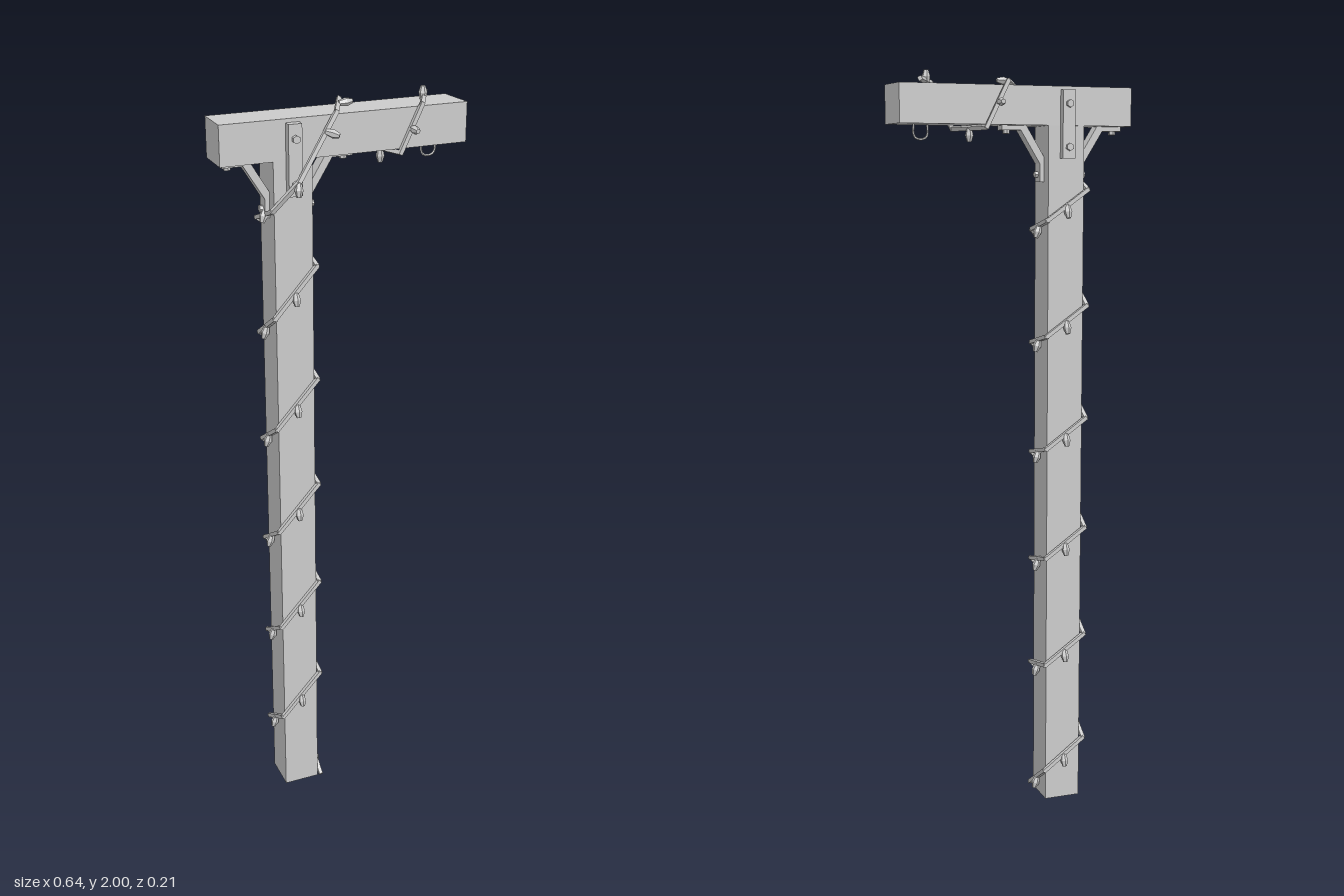
import * as THREE from 'three';

const mat = new THREE.MeshStandardMaterial({ color: 0xcccccc, flatShading: true });
const V = (x, y, z) => new THREE.Vector3(x, y, z);
const UP = V(0, 1, 0);
const PX = -0.14, CZ = -0.005; // post centre

function add(parent, name, geo, x = 0, y = 0, z = 0) {
  const m = new THREE.Mesh(geo, mat);
  m.name = name;
  m.position.set(x, y, z);
  parent.add(m);
  return m;
}

// Square cord stretched between two points
function cord(parent, a, b) {
  const d = b.clone().sub(a);
  const geo = new THREE.CylinderGeometry(0.0075, 0.0075, d.length() + 0.006, 4);
  geo.rotateY(Math.PI / 4);
  const m = add(parent, 'cord', geo);
  m.position.copy(a).add(b).multiplyScalar(0.5);
  m.quaternion.setFromUnitVectors(UP, d.normalize());
}

// Faceted bulb growing from p along dir
function bulb(parent, p, dir) {
  const profile = [[0, 0], [0.007, 0], [0.011, 0.019], [0.006, 0.035], [0, 0.035]];
  const geo = new THREE.LatheGeometry(profile.map(([x, y]) => new THREE.Vector2(x, y)), 6);
  const m = add(parent, 'bulb', geo);
  m.position.copy(p);
  m.quaternion.setFromUnitVectors(UP, dir.clone().normalize());
}

export function createModel() {
  const model = new THREE.Group();
  model.name = 'lightPost';

  // Post and crossbeam (one end cut at a slight angle)
  add(model, 'post', new THREE.BoxGeometry(0.1, 1.87, 0.1), PX, 0.935, CZ);
  const plan = new THREE.Shape([[-0.323, -0.045], [0.322, -0.045], [0.311, 0.057], [-0.323, 0.057]]
    .map(([x, y]) => new THREE.Vector2(x, y)));
  const beam = new THREE.ExtrudeGeometry(plan, { depth: 0.1, bevelEnabled: false });
  beam.rotateX(-Math.PI / 2);
  add(model, 'beam', beam, 0, 1.865, 0);

  // Bent strap braces under the beam, both sides of the post
  const strap = new THREE.Shape([
    [0.05, 1.72], [0.062, 1.72], [0.062, 1.768], [0.115, 1.853], [0.168, 1.853],
    [0.168, 1.866], [0.1, 1.866], [0.05, 1.785],
  ].map(([x, y]) => new THREE.Vector2(x, y)));
  for (const s of [1, -1]) {
    const brace = new THREE.Group();
    brace.name = s > 0 ? 'leftBrace' : 'rightBrace';
    brace.position.set(PX, 0, CZ);
    brace.rotation.y = s > 0 ? 0 : Math.PI;
    const geo = new THREE.ExtrudeGeometry(strap, { depth: 0.036, bevelEnabled: false });
    add(brace, 'strap', geo, 0, 0, -0.018);
    add(brace, 'beamBolt', new THREE.CylinderGeometry(0.009, 0.009, 0.01, 6), 0.15, 1.849, 0);
    const bolt = add(brace, 'postBolt', new THREE.CylinderGeometry(0.009, 0.009, 0.01, 6), 0.066, 1.74, 0);
    bolt.rotation.z = Math.PI / 2;
    model.add(brace);
  }

  // Bolted joint plates, front and back
  for (const s of [1, -1]) {
    const plate = new THREE.Group();
    plate.name = s > 0 ? 'frontPlate' : 'backPlate';
    plate.position.set(PX, 0, s > 0 ? 0.045 : -0.056);
    add(plate, 'plate', new THREE.BoxGeometry(0.035, 0.175, 0.02), 0, 1.868, s * 0.01);
    for (const y of [1.92, 1.81]) {
      const bolt = add(plate, 'bolt', new THREE.CylinderGeometry(0.01, 0.01, 0.012, 6), 0, y, s * 0.024);
      bolt.rotation.x = Math.PI / 2;
    }
    model.add(plate);
  }

  // Light string winding up the post
  const lights = new THREE.Group();
  lights.name = 'lightString';
  model.add(lights);
  const L = -0.197, R = -0.083, F = 0.052, B = -0.066, pitch = 0.305;
  const path = [V(R, 0.01, F), V(R, 0.09, B), V(L, 0.175, B)];
  for (let i = 0; i < 5; i++) {
    const y = 0.25 + i * pitch;
    path.push(V(L, y, F), V(R, y + 0.125, F), V(R, y + 0.15, B), V(L, y + 0.23, B));
  }
  // A hanging bulb halfway along each side, tilted outwards
  for (let i = 0; i < path.length - 1; i++) {
    const mid = path[i].clone().lerp(path[i + 1], 0.5);
    const out = V(mid.x - PX, 0, mid.z - CZ).normalize().multiplyScalar(0.3);
    bulb(lights, mid, out.setY(-1));
  }

  // The string leaves the post and wraps the beam
  path.push(
    V(L, 1.745, 0.05), V(-0.14, 1.82, 0.085), V(-0.03, 1.972, 0.052),
    V(0.027, 1.974, -0.072), V(0.085, 1.857, -0.07), V(0.14, 1.857, 0.053),
    V(0.195, 1.972, 0.053), V(0.26, 1.974, -0.07));
  for (let i = 0; i < path.length - 1; i++) cord(lights, path[i], path[i + 1]);
  [
    [V(L, 1.74, 0.0), V(-0.35, -1, 0.2)],
    [V(-0.14, 1.82, 0.085), V(-0.1, -1, 0.2)],
    [V(-0.062, 1.93, 0.063), V(0.8, -0.25, 0.5)],
    [V(0.003, 1.976, -0.013), V(1, 0.1, 0.05)],
    [V(0.052, 1.92, -0.072), V(0, 0, -1)],
    [V(0.112, 1.857, -0.008), V(0, -1, 0)],
    [V(0.168, 1.915, 0.056), V(0, 0, 1)],
    [V(0.228, 1.965, -0.013), V(0, 1, 0)],
  ].forEach(([p, d]) => bulb(lights, p, d));

  // Small hanging loop under the beam
  const loop = new THREE.CatmullRomCurve3([
    V(0.224, 1.87, CZ), V(0.224, 1.838, CZ), V(0.232, 1.829, CZ),
    V(0.252, 1.829, CZ), V(0.26, 1.838, CZ), V(0.26, 1.87, CZ)]);
  add(model, 'hangingLoop', new THREE.TubeGeometry(loop, 16, 0.003, 5));

  return model;
}
